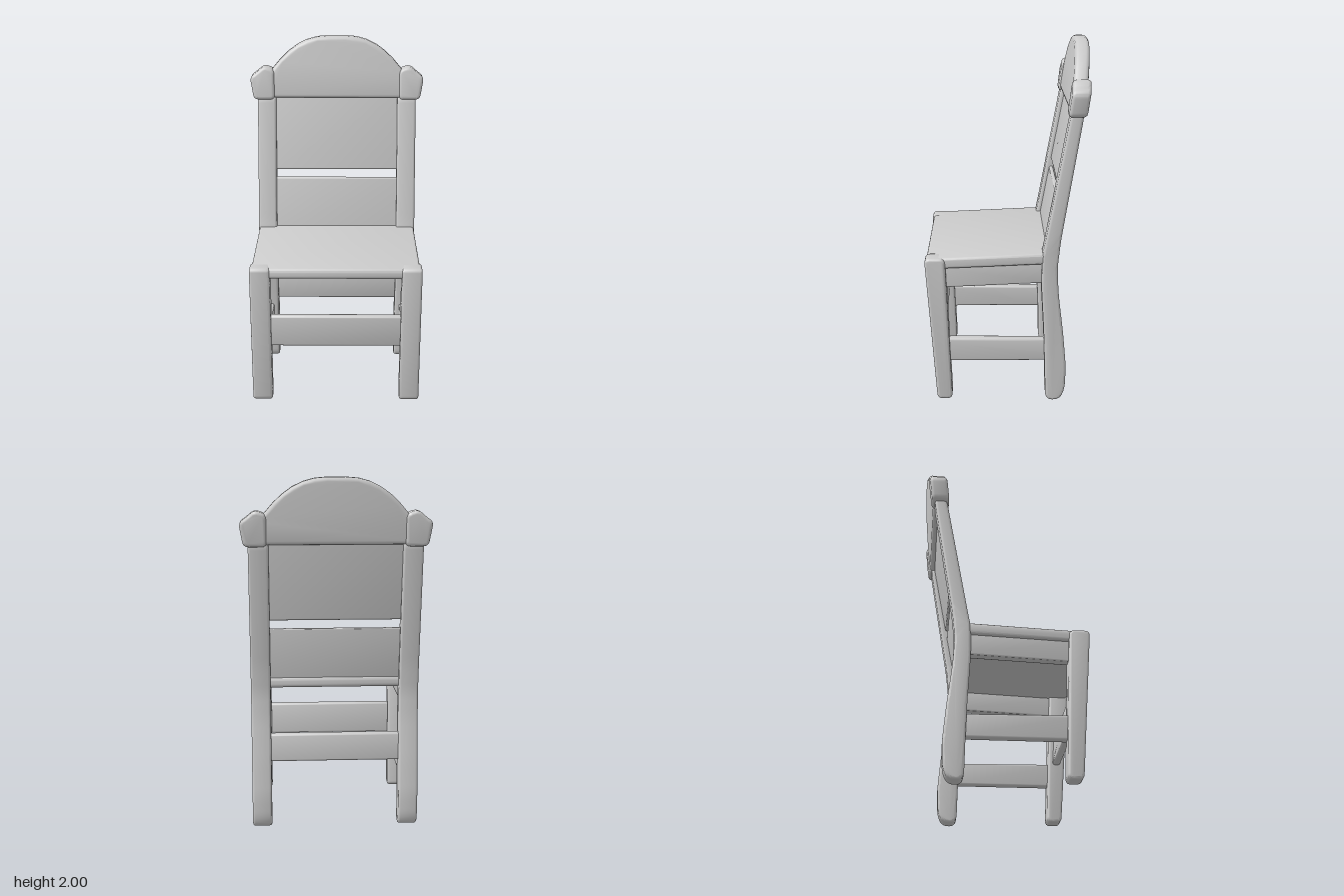
import * as THREE from 'three';
import { toCreasedNormals } from 'three/addons/utils/BufferGeometryUtils.js';

const material = new THREE.MeshStandardMaterial({ color: 0xcccccc });

// Closed shape whose corners are softened by up to r
function roundedShape(points, r) {
  const p = points.map(([x, y]) => new THREE.Vector2(x, y));
  const shape = new THREE.Shape();
  p.forEach((c, i) => {
    const prev = p[(i + p.length - 1) % p.length];
    const next = p[(i + 1) % p.length];
    const toward = (q) => c.clone().lerp(q, Math.min(r / c.distanceTo(q), 0.48));
    const a = toward(prev), b = toward(next);
    if (i === 0) shape.moveTo(a.x, a.y);
    else shape.lineTo(a.x, a.y);
    shape.quadraticCurveTo(c.x, c.y, b.x, b.y);
  });
  shape.closePath();
  return shape;
}

// Extrusion of exact total depth, centred on z = 0, with rounded rims
function extrude(shape, depth, bevel) {
  const geometry = new THREE.ExtrudeGeometry(shape, {
    depth: depth - 2 * bevel, curveSegments: 6, bevelEnabled: true,
    bevelThickness: bevel, bevelSize: bevel, bevelOffset: -bevel, bevelSegments: 3,
  });
  return geometry.translate(0, 0, bevel - depth / 2);
}

function addMesh(group, name, geometry) {
  const mesh = new THREE.Mesh(toCreasedNormals(geometry, 0.7), material);
  mesh.name = name;
  group.add(mesh);
}

// Part drawn as a side profile of [z, y] points and spanning x0 to x1
function addProfile(group, name, points, x0, x1, bevel, r = bevel * 1.7) {
  const geometry = extrude(roundedShape(points, r), x1 - x0, bevel);
  geometry.rotateY(-Math.PI / 2).translate((x0 + x1) / 2, 0, 0);
  addMesh(group, name, geometry);
}

function addPair(group, name, points, x0, x1, bevel, r) {
  addProfile(group, 'left' + name, points, x0, x1, bevel, r);
  addProfile(group, 'right' + name, points, -x1, -x0, bevel, r);
}

// Lean the top rail backward as it rises
function lean(geometry) {
  const pos = geometry.attributes.position;
  for (let i = 0; i < pos.count; i++) {
    pos.setZ(i, pos.getZ(i) - 0.372 - 0.125 * (pos.getY(i) - 1.65));
  }
  geometry.computeVertexNormals();
  return geometry;
}

export function createModel() {
  const chair = new THREE.Group();
  chair.name = 'chair';

  // Front legs, tapering toward the floor
  addPair(chair, 'FrontLeg',
    [[0.31, 0.015], [0.395, 0.015], [0.455, 0.85], [0.342, 0.85]], 0.365, 0.478, 0.014, 0.03);

  // Back legs sweeping up into the leaning back posts
  addPair(chair, 'BackPost', [
    [-0.295, 0], [-0.215, 0], [-0.21, 0.22], [-0.203, 0.42], [-0.188, 0.68], [-0.19, 0.86],
    [-0.203, 0.92], [-0.338, 1.66], [-0.408, 1.66], [-0.292, 0.95], [-0.275, 0.79],
    [-0.283, 0.64], [-0.312, 0.4], [-0.33, 0.2], [-0.325, 0.06],
  ], 0.362, 0.472, 0.014, 0.05);

  // Seat board
  addProfile(chair, 'seat',
    [[-0.25, 0.815], [0.446, 0.787], [0.446, 0.847], [-0.25, 0.877]], -0.467, 0.467, 0.014);

  // Side rails under the seat
  addPair(chair, 'SeatRail',
    [[-0.23, 0.70], [0.37, 0.675], [0.37, 0.80], [-0.23, 0.825]], 0.385, 0.445, 0.008);

  // Stretchers between the legs
  addPair(chair, 'SideStretcher',
    [[-0.24, 0.235], [0.35, 0.235], [0.35, 0.37], [-0.24, 0.362]], 0.39, 0.445, 0.01);
  addProfile(chair, 'frontStretcher',
    [[0.35, 0.36], [0.395, 0.36], [0.408, 0.55], [0.363, 0.55]], -0.39, 0.39, 0.01);
  addProfile(chair, 'backStretcher',
    [[-0.285, 0.39], [-0.24, 0.39], [-0.23, 0.55], [-0.275, 0.55]], -0.39, 0.39, 0.01);

  // Back slats following the slope of the posts
  const slatZ = (y) => -0.217 - 0.185 * (y - 0.87);
  [['lowerSlat', 0.85, 1.165], ['upperSlat', 1.213, 1.67]].forEach(([name, y0, y1]) => {
    addProfile(chair, name, [
      [slatZ(y0) - 0.024, y0], [slatZ(y0), y0], [slatZ(y1), y1], [slatZ(y1) - 0.024, y1],
    ], -0.385, 0.385, 0.006);
  });

  // Arched top rail
  const arch = new THREE.Shape();
  arch.moveTo(-0.42, 1.64);
  arch.lineTo(0.42, 1.64);
  arch.lineTo(0.42, 1.77);
  arch.lineTo(0.385, 1.808);
  arch.bezierCurveTo(0.29, 1.93, 0.19, 2.0, 0.05, 2.0);
  arch.lineTo(-0.05, 2.0);
  arch.bezierCurveTo(-0.19, 2.0, -0.29, 1.93, -0.385, 1.808);
  arch.lineTo(-0.42, 1.77);
  arch.closePath();
  addMesh(chair, 'topRail', lean(extrude(arch, 0.08, 0.022)));

  // Rounded shoulder blocks capping the rail ends
  [['left', 1], ['right', -1]].forEach(([side, s]) => {
    const outline = [
      [0.37, 1.63], [0.495, 1.63], [0.518, 1.762], [0.475, 1.792], [0.435, 1.828], [0.37, 1.806],
    ].map(([x, y]) => [s * x, y]);
    if (s < 0) outline.reverse();
    addMesh(chair, side + 'Shoulder', lean(extrude(roundedShape(outline, 0.03), 0.098, 0.018)));
  });

  return chair;
}
